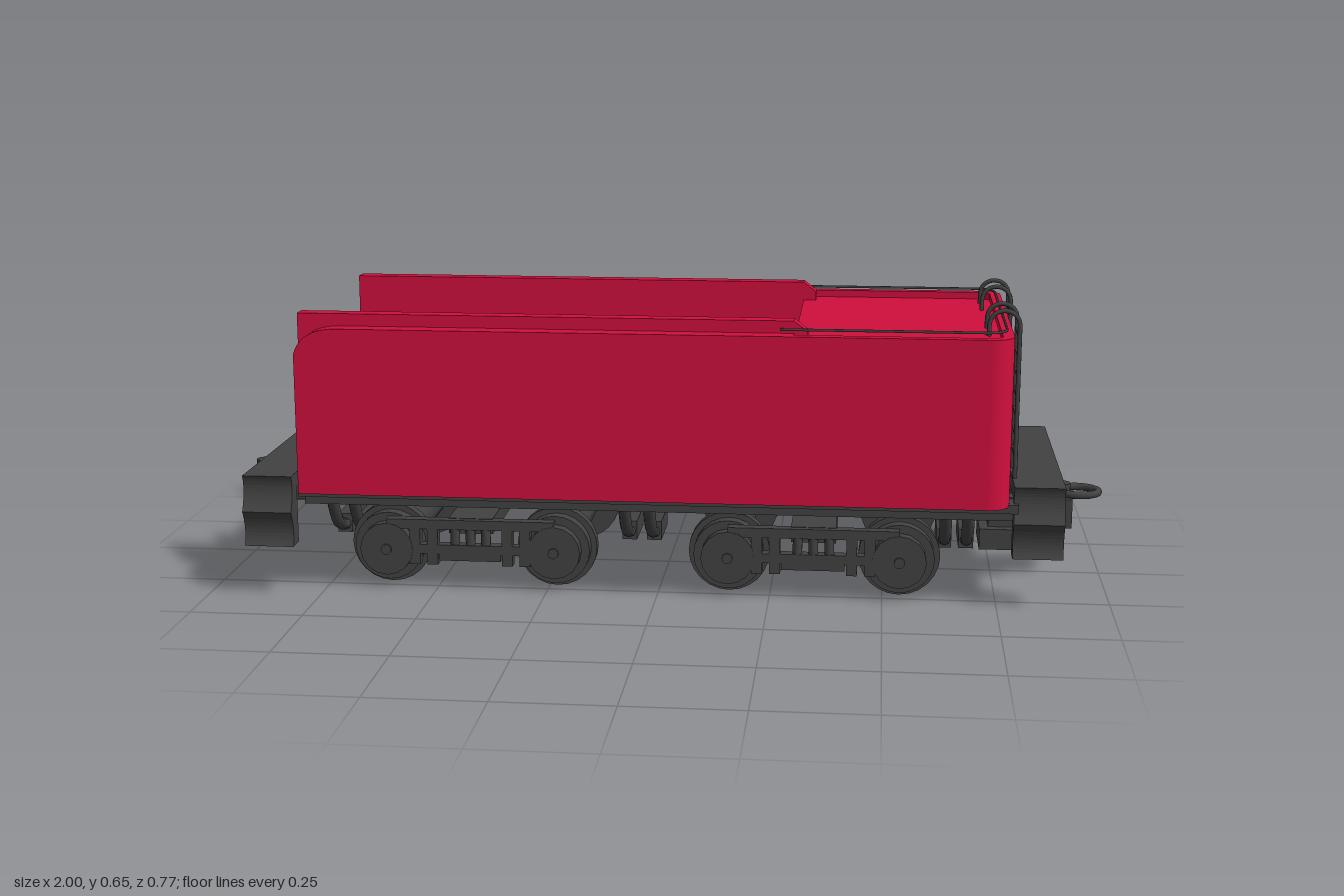
import * as THREE from 'three';

export function createModel() {
  const root = new THREE.Group();
  const red = new THREE.MeshStandardMaterial({ color: 0xd00f3c });
  red.name = 'red paint';
  const dark = new THREE.MeshStandardMaterial({ color: 0x424242 });
  dark.name = 'dark iron';

  const add = (name, geo, mat = dark, parent = root) => {
    const m = new THREE.Mesh(geo, mat);
    m.name = name;
    parent.add(m);
    return m;
  };
  // box given by its limits on each axis
  const box = (name, x0, x1, y0, y1, z0, z1, mat = dark, parent = root) =>
    add(name, new THREE.BoxGeometry(x1 - x0, y1 - y0, z1 - z0)
      .translate((x0 + x1) / 2, (y0 + y1) / 2, (z0 + z1) / 2), mat, parent);
  const extrude = (shape, depth) =>
    new THREE.ExtrudeGeometry(shape, { depth, bevelEnabled: false, curveSegments: 10 });
  const v = (x, y, z) => new THREE.Vector3(x, y, z);
  const rod = (name, pts, r, sides = 8, segs = 40) => {
    const path = new THREE.CurvePath();
    for (let i = 1; i < pts.length; i++) path.add(new THREE.LineCurve3(pts[i - 1], pts[i]));
    return add(name, new THREE.TubeGeometry(path, segs, r, sides), dark);
  };

  // ---- Red body ----
  const body = new THREE.Group();
  body.name = 'body';
  body.position.z = 0.008;
  root.add(body);
  const W = 0.345, END = 0.77, FRONT = -0.79, BULK = 0.3;

  // plan outline of the tank with rounded rear corners
  const plan = (P, x0, x1, w, r) => {
    const s = new P();
    s.moveTo(x0, -w);
    s.lineTo(x1 - r, -w);
    s.absarc(x1 - r, -w + r, r, -Math.PI / 2, 0);
    s.lineTo(x1, w - r);
    s.absarc(x1 - r, w - r, r, 0, Math.PI / 2);
    s.lineTo(x0, w);
    s.closePath();
    return s;
  };
  add('waterTank', extrude(plan(THREE.Shape, BULK, END, W, 0.05), 0.355)
    .rotateX(-Math.PI / 2).translate(0, 0.237, 0), red, body);
  const rim = new THREE.Shape();
  rim.moveTo(BULK, -W);
  rim.lineTo(END - 0.05, -W);
  rim.absarc(END - 0.05, -W + 0.05, 0.05, -Math.PI / 2, 0);
  rim.lineTo(END, W - 0.05);
  rim.absarc(END - 0.05, W - 0.05, 0.05, 0, Math.PI / 2);
  rim.lineTo(BULK, W);
  rim.lineTo(BULK, W - 0.025);
  rim.lineTo(END - 0.05, W - 0.025);
  rim.absarc(END - 0.05, W - 0.05, 0.025, Math.PI / 2, 0, true);
  rim.lineTo(END - 0.025, -W + 0.05);
  rim.absarc(END - 0.05, -W + 0.05, 0.025, 0, -Math.PI / 2, true);
  rim.lineTo(BULK, -W + 0.025);
  rim.closePath();
  add('tankRim', extrude(rim, 0.016).rotateX(-Math.PI / 2).translate(0, 0.592, 0), red, body);
  box('bunkerFloor', FRONT, BULK, 0.237, 0.265, -0.31, 0.31, red, body);

  // outer side wall with rounded top corner, and taller inner board
  const wall = new THREE.Shape();
  wall.moveTo(FRONT, 0.237);
  wall.lineTo(BULK, 0.237);
  wall.lineTo(BULK, 0.608);
  wall.lineTo(-0.70, 0.608);
  wall.quadraticCurveTo(-0.775, 0.605, FRONT, 0.55);
  wall.closePath();
  const board = new THREE.Shape();
  board.moveTo(FRONT, 0.25);
  board.lineTo(BULK, 0.25);
  board.lineTo(BULK, 0.59);
  board.lineTo(0.33, 0.59);
  board.lineTo(0.33, 0.612);
  board.lineTo(BULK, 0.635);
  board.lineTo(FRONT, 0.635);
  board.closePath();
  for (const s of [-1, 1]) {
    add('sideWall', extrude(wall, 0.043).translate(0, 0, s > 0 ? W - 0.043 : -W), red, body);
    add('coalBoard', extrude(board, 0.038).translate(0, 0, s > 0 ? 0.264 : -0.302), red, body);
  }

  // ---- Ladders and handrail ----
  for (const s of [-1, 1]) {
    for (const z of [0.125, 0.225]) {
      const pts = [v(0.785, 0.27, s * z), v(0.785, 0.62, s * z)];
      for (let i = 1; i <= 8; i++) {
        const a = (i / 8) * Math.PI;
        pts.push(v(0.752 + 0.033 * Math.cos(a), 0.62 + 0.031 * Math.sin(a), s * z));
      }
      pts.push(v(0.719, 0.595, s * z));
      rod('ladderRail', pts, 0.005, 8, 80);
    }
    for (let i = 0; i < 7; i++)
      rod('ladderRung', [v(0.785, 0.33 + i * 0.044, s * 0.125), v(0.785, 0.33 + i * 0.044, s * 0.225)], 0.004, 8, 1);
  }
  const rail = [v(0.27, 0.618, -0.305)];
  for (const s of [-1, 1])
    for (let i = 0; i <= 6; i++) {
      const a = (s < 0 ? -1 + i / 6 : i / 6) * Math.PI / 2;
      rail.push(v(0.71 + 0.045 * Math.cos(a), 0.618, 0.008 + s * 0.268 + 0.045 * Math.sin(a)));
    }
  rail.push(v(0.27, 0.618, 0.321));
  rod('handrail', rail, 0.003, 6, 120);

  // ---- Underframe ----
  for (const s of [-1, 1]) {
    box('frameRail', -0.8, 0.79, 0.192, 0.245, s * 0.245 - 0.02, s * 0.245 + 0.02);
    box('runningEdge', -0.8, 0.79, 0.222, 0.242, s * 0.29 - 0.03, s * 0.29 + 0.03);
  }

  // end beams with scalloped steps
  const step = (s, inner, outer) => {
    const p = new THREE.Shape();
    p.moveTo(-s * inner, 0.12);
    p.lineTo(-s * (outer - 0.01), 0.12);
    p.quadraticCurveTo(-s * (outer - 0.028), 0.155, -s * outer, 0.2);
    p.quadraticCurveTo(-s * (outer - 0.028), 0.245, -s * (outer - 0.01), 0.28);
    p.lineTo(-s * inner, 0.28);
    p.closePath();
    return extrude(p, 0.11).rotateY(Math.PI / 2);
  };
  for (const [x0, w] of [[-0.91, 0.383], [0.78, 0.325]]) {
    box('endBeam', x0, x0 + 0.11, 0.248, 0.28, -w + 0.02, w - 0.02);
    const inX = x0 < 0 ? -0.84 : 0.79;
    box('beamPlate', inX, inX + 0.05, 0.188, 0.25, -0.212, 0.212);
    for (const s of [-1, 1])
      add('endStep', step(s, w - 0.055, w)).position.x = x0;
  }

  // ---- Couplings ----
  box('frontDrawbar', -1, -0.8, 0.138, 0.172, -0.027, 0.027);
  add('frontPin', new THREE.CylinderGeometry(0.021, 0.021, 0.09, 16)).position.set(-0.967, 0.185, 0);
  box('rearCouplingBox', 0.74, 0.93, 0.12, 0.188, -0.046, 0.046);
  box('rearCouplingFoot', 0.72, 0.83, 0.072, 0.12, -0.07, 0.07);
  add('rearPin', new THREE.CylinderGeometry(0.023, 0.023, 0.06, 16)).position.set(0.905, 0.187, 0);
  const link = add('rearLink', new THREE.TorusGeometry(0.042, 0.009, 8, 28).rotateX(Math.PI / 2));
  link.scale.x = 1.08;
  link.position.set(0.945, 0.198, 0);

  // ---- Curved brake hangers under the floor ----
  for (const x of [-0.76, -0.71, -0.085, -0.028, 0.64, 0.69]) {
    const curve = new THREE.CatmullRomCurve3([v(x, 0.24, -0.185), v(x, 0.185, -0.178), v(x, 0.12, -0.135),
      v(x, 0.092, -0.06), v(x, 0.092, 0.06), v(x, 0.12, 0.135), v(x, 0.185, 0.178), v(x, 0.24, 0.185)]);
    add('curvedHanger', new THREE.TubeGeometry(curve, 28, 0.014, 8));
    box('hangerFoot', x - 0.017, x + 0.017, 0.074, 0.118, -0.07, 0.07);
  }

  // ---- Bogies ----
  const disc = (name, r, z0, z1, x, parent, sides = 24) => {
    const m = add(name, new THREE.CylinderGeometry(r, r, Math.abs(z1 - z0), sides).rotateX(Math.PI / 2), dark, parent);
    m.position.set(x, 0.094, (z0 + z1) / 2);
    return m;
  };
  for (const cx of [-0.423, 0.347]) {
    const bogie = new THREE.Group();
    bogie.name = 'bogie';
    bogie.position.x = cx;
    root.add(bogie);
    box('bolster', -0.05, 0.05, 0.13, 0.165, -0.26, 0.26, dark, bogie);
    add('pivot', new THREE.CylinderGeometry(0.05, 0.05, 0.08, 16), dark, bogie).position.set(0, 0.2, 0);
    for (const x of [-0.19, 0.19]) {
      disc('axle', 0.042, -0.2, 0.2, x, bogie, 16);
      for (const s of [-1, 1]) {
        disc('wheelFlange', 0.091, s * 0.19, s * 0.217, x, bogie);
        disc('wheelTread', 0.078, s * 0.215, s * 0.248, x, bogie);
        disc('journalPlate', 0.06, s * 0.25, s * 0.278, x, bogie, 16);
        disc('journalCap', 0.012, s * 0.27, s * 0.284, x, bogie, 12);
      }
    }
    // side frame: two bars joined by posts, springs between
    for (const s of [-1, 1]) {
      const z0 = s > 0 ? 0.25 : -0.276, z1 = z0 + 0.026;
      box('topBar', -0.19, 0.19, 0.142, 0.164, z0, z1, dark, bogie);
      box('lowerBar', -0.17, 0.17, 0.085, 0.106, z0, z1, dark, bogie);
      box('springPlank', -0.07, 0.07, 0.07, 0.09, z0, z1, dark, bogie);
      for (const x of [-0.125, -0.085, 0.085, 0.125])
        box('framePost', x - 0.012, x + 0.012, 0.06, 0.15, z0, z1, dark, bogie);
      for (const x of [-0.035, 0, 0.035])
        add('spring', new THREE.CylinderGeometry(0.011, 0.011, 0.045, 10), dark, bogie)
          .position.set(x, 0.125, (z0 + z1) / 2);
    }
  }
  return root;
}
